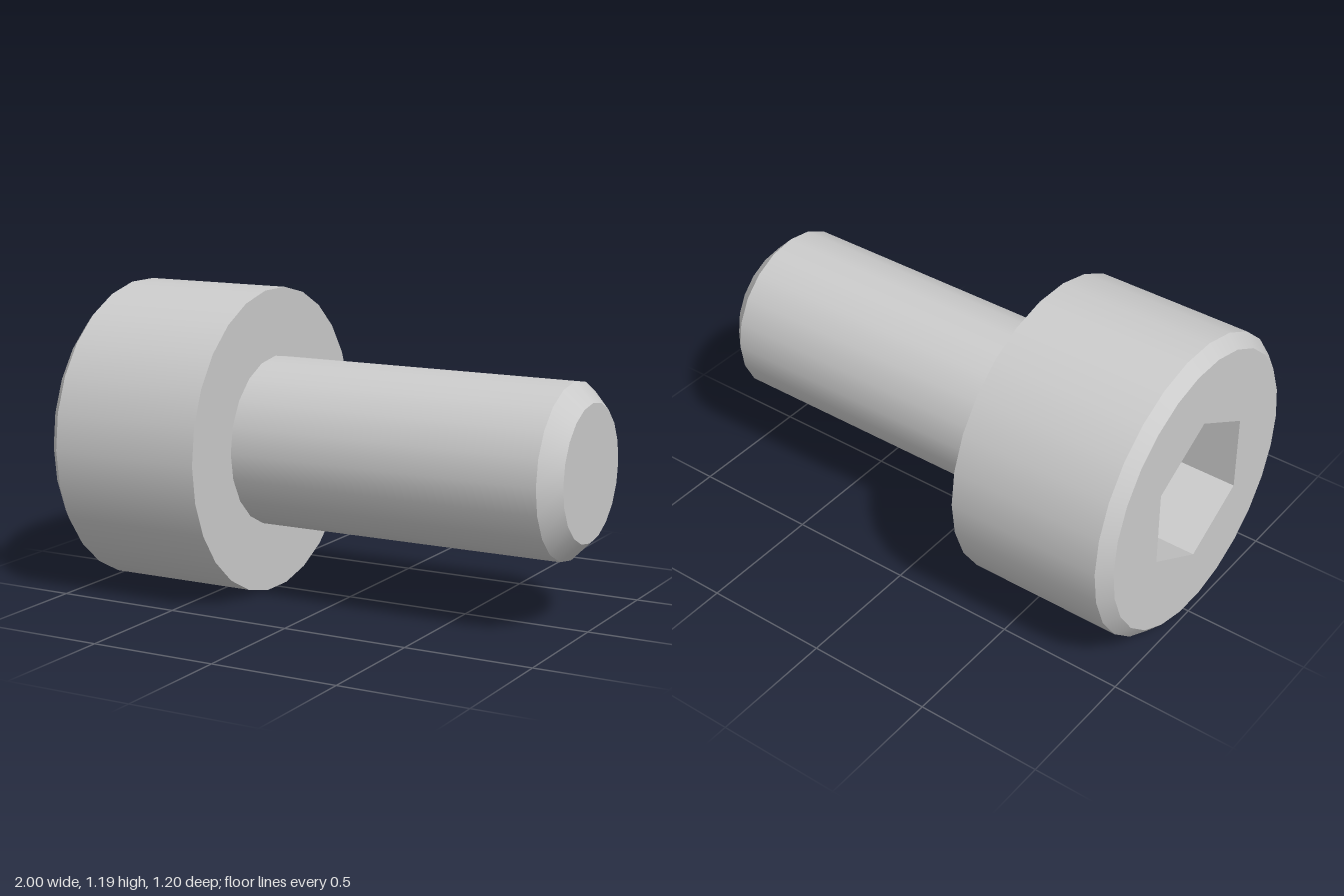
import * as THREE from 'three';

const HEAD_R = 0.6, FACE_R = 0.553, SHANK_R = 0.333, TIP_R = 0.26;
const HEX_R = 0.308, SOCKET_DEPTH = 0.295;
const HEAD_SIDES = 26, SHANK_SIDES = 20;
const END = -1, SHOULDER = -0.333, TIP = 1;

const smooth = new THREE.MeshStandardMaterial({ color: 0xcccccc });
const faceted = new THREE.MeshStandardMaterial({ color: 0xcccccc, flatShading: true });

// Turns each profile segment [radius, position] separately so the edges between stay sharp
function turned(name, profile, sides) {
  const group = new THREE.Group();
  group.name = name;
  for (let i = 0; i < profile.length - 1; i++) {
    const points = [profile[i], profile[i + 1]].map(([r, y]) => new THREE.Vector2(r, y));
    const mesh = new THREE.Mesh(new THREE.LatheGeometry(points, sides), smooth);
    mesh.name = `${name}Band${i + 1}`;
    group.add(mesh);
  }
  return group;
}

function polygon(radius, sides, start) {
  return Array.from({ length: sides }, (_, i) => {
    const a = start + (i / sides) * Math.PI * 2;
    return new THREE.Vector2(radius * Math.cos(a), radius * Math.sin(a));
  });
}

export function createModel() {
  const model = new THREE.Group();
  model.name = 'socketHeadScrew';

  // Everything is turned about y, then laid along x
  const screw = new THREE.Group();
  screw.name = 'screw';
  screw.rotation.z = -Math.PI / 2;
  screw.position.y = HEAD_R * Math.cos(Math.PI / HEAD_SIDES);
  model.add(screw);

  // Head: chamfer, side and underside
  screw.add(turned('head', [
    [FACE_R, END], [HEAD_R, END + 0.047], [HEAD_R, SHOULDER], [SHANK_R * 0.95, SHOULDER],
  ], HEAD_SIDES));

  // Shank: side, tip chamfer and flat tip
  screw.add(turned('shank', [
    [SHANK_R, SHOULDER], [SHANK_R, TIP - 0.073], [TIP_R, TIP], [0, TIP],
  ], SHANK_SIDES));

  // Head face with a hexagonal opening
  const face = new THREE.Shape(polygon(FACE_R, HEAD_SIDES, Math.PI / 2));
  face.holes.push(new THREE.Path(polygon(HEX_R, 6, 0)));
  const faceGeometry = new THREE.ShapeGeometry(face);
  faceGeometry.rotateX(Math.PI / 2);
  faceGeometry.translate(0, END, 0);
  const headFace = new THREE.Mesh(faceGeometry, smooth);
  headFace.name = 'headFace';
  screw.add(headFace);

  // Hex socket: floor and walls, facing inward
  const floor = END + SOCKET_DEPTH;
  const socketProfile = [[0, floor], [HEX_R, floor], [HEX_R, END]].map(([r, y]) => new THREE.Vector2(r, y));
  const socket = new THREE.Mesh(new THREE.LatheGeometry(socketProfile, 6, Math.PI / 2), faceted);
  socket.name = 'hexSocket';
  screw.add(socket);

  return model;
}
